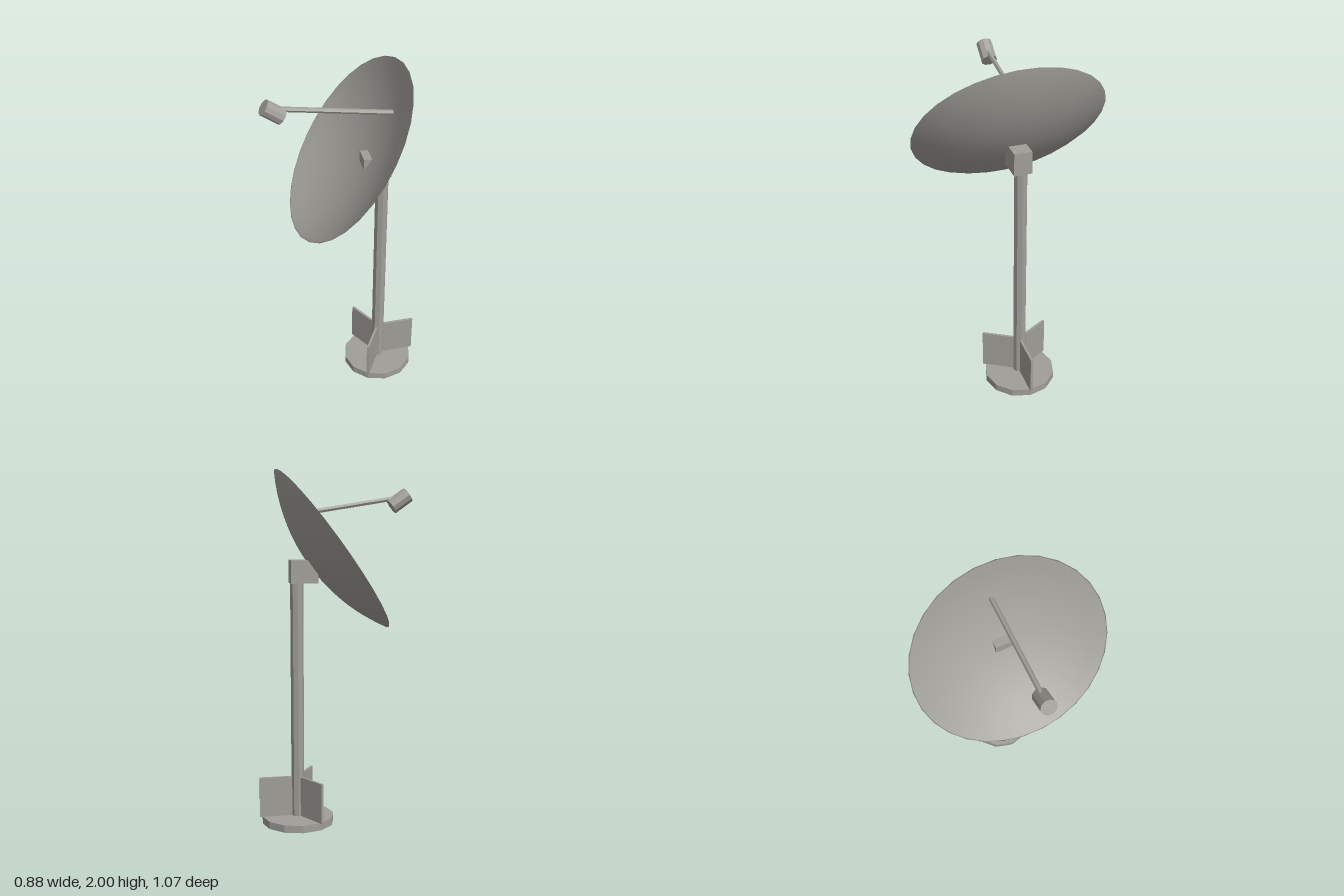
import * as THREE from 'three';

const metal = new THREE.MeshStandardMaterial({ color: 0xa09e98 });
metal.name = 'grey metal';

const POST_X = 0.215;
const TILT = 0.957; // dish axis leans from +y towards -x

// Faceted copy of a geometry
function faceted(geometry) {
  const flat = geometry.index ? geometry.toNonIndexed() : geometry;
  flat.computeVertexNormals();
  return flat;
}

function part(name, geometry, x = 0, y = 0, z = 0) {
  const mesh = new THREE.Mesh(geometry, metal);
  mesh.name = name;
  mesh.position.set(x, y, z);
  return mesh;
}

// Points along a shallow spherical cap, from its lowest point out to the rim at y = 0
function capProfile(radius, depth, steps) {
  const sphere = (radius * radius + depth * depth) / (2 * depth);
  const points = [];
  for (let i = 0; i <= steps; i++) {
    const r = (radius * i) / steps;
    points.push(new THREE.Vector2(r, sphere - depth - Math.sqrt(sphere * sphere - r * r)));
  }
  return points;
}

export function createModel() {
  const model = new THREE.Group();
  model.name = 'satelliteDish';

  // Base plate and post
  model.add(part('basePlate', faceted(new THREE.CylinderGeometry(0.205, 0.205, 0.042, 12)), POST_X, 0.021));
  model.add(part('post', faceted(new THREE.CylinderGeometry(0.037, 0.037, 1.36, 8)), POST_X, 0.72));

  // Three upright fins around the post
  for (let i = 0; i < 3; i++) {
    const fin = new THREE.Group();
    fin.name = 'fin' + (i + 1);
    fin.position.set(POST_X, 0, 0);
    fin.rotation.y = (i * Math.PI * 2) / 3;
    fin.add(part('finPlate', new THREE.BoxGeometry(0.22, 0.23, 0.014), 0.11, 0.156));
    model.add(fin);
  }

  // Mount block, which pokes through the dish
  model.add(part('mountBlock', new THREE.BoxGeometry(0.154, 0.128, 0.1), 0.177, 1.44));

  // Thin bowl: outer skin up to the rim, then inner skin back to the middle
  const outer = capProfile(0.537, 0.147, 10);
  const inner = capProfile(0.531, 0.135, 10).reverse();
  const dish = part('dish', new THREE.LatheGeometry([...outer, ...inner], 30), 0.02, 1.56);
  dish.rotation.z = TILT;
  model.add(dish);

  // Feed arm from the bowl to the horn
  const start = new THREE.Vector3(0.262, 1.746, 0);
  const end = new THREE.Vector3(-0.36, 1.844, 0);
  const along = end.clone().sub(start);
  const arm = part('feedArm', faceted(new THREE.CylinderGeometry(0.014, 0.014, along.length(), 6)));
  arm.position.copy(start).add(end).multiplyScalar(0.5);
  arm.quaternion.setFromUnitVectors(new THREE.Vector3(0, 1, 0), along.normalize());
  model.add(arm);

  // Feed horn, in line with the dish axis
  const horn = part('feedHorn', faceted(new THREE.CylinderGeometry(0.044, 0.044, 0.115, 10)), -0.369, 1.828);
  horn.rotation.z = TILT;
  model.add(horn);

  return model;
}
